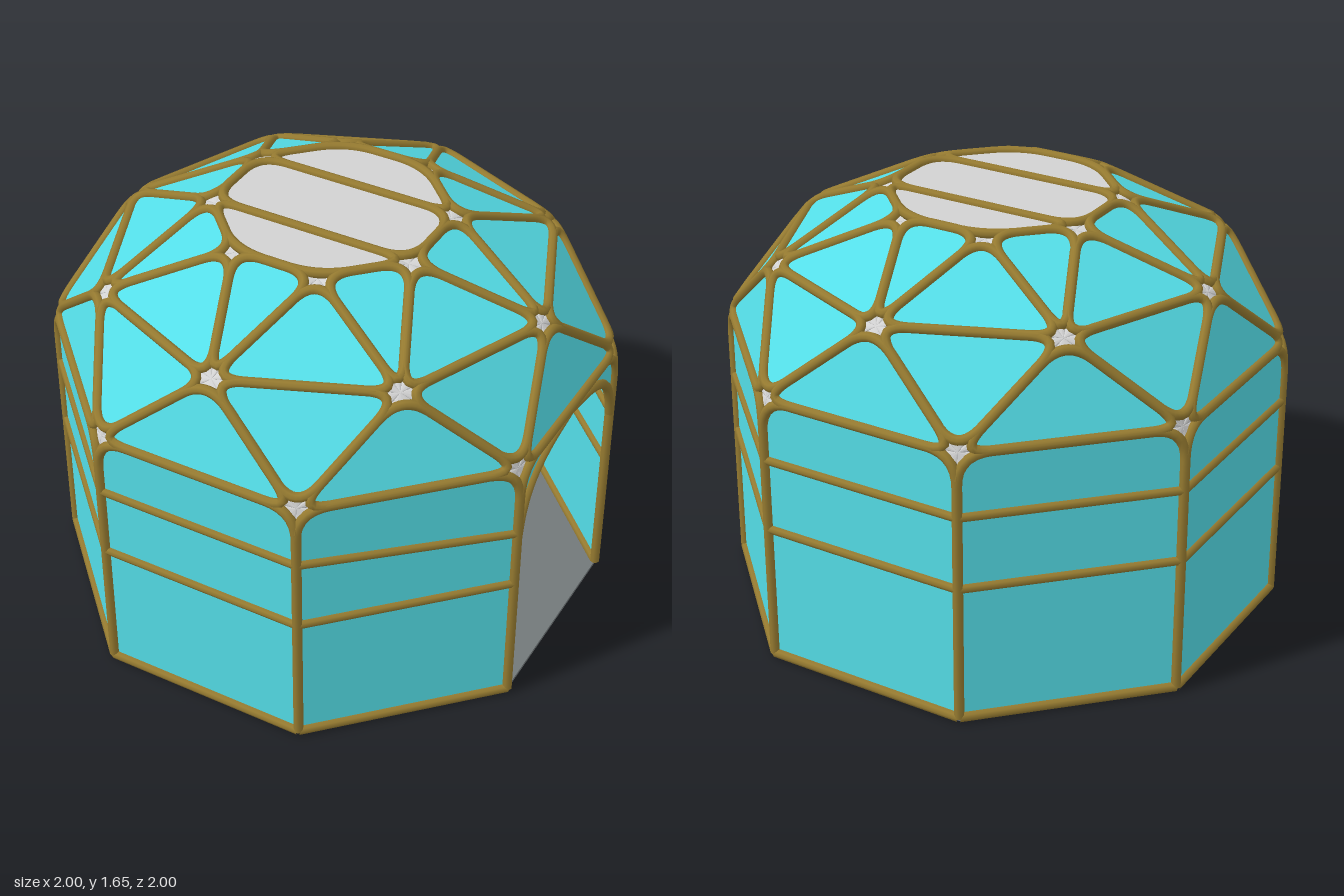
import * as THREE from 'three';
import { mergeGeometries } from 'three/addons/utils/BufferGeometryUtils.js';

const TUBE = 0.019; // frame tube radius
const CUT = 0.125; // how far from a joint the frame starts to round
const WALL_TOP = 1.085;
const V = (x, y, z) => new THREE.Vector3(x, y, z);

// Eight points on a level ring; offset is in steps of 45 degrees
const ring = (r, y, offset) => Array.from({ length: 8 }, (_, k) => {
  const a = (k + offset) * Math.PI / 4;
  return V(r * Math.cos(a), y, r * Math.sin(a));
});

// Triangle with its front turned away from the middle of the dome
function pushTriangle(out, a, b, c) {
  const mid = a.clone().add(b).add(c).divideScalar(3).sub(V(0, 0.6, 0));
  const n = b.clone().sub(a).cross(c.clone().sub(a));
  const order = n.dot(mid) >= 0 ? [a, b, c] : [a, c, b];
  order.forEach((p) => out.push(p.x, p.y, p.z));
}

function soup(positions) {
  const g = new THREE.BufferGeometry();
  g.setAttribute('position', new THREE.Float32BufferAttribute(positions, 3));
  g.computeVertexNormals();
  return g;
}

// Rounded corner between neighbours p and n
function cornerCurve(p, c, n) {
  const toward = (q) => c.clone().add(q.clone().sub(c).setLength(CUT));
  return new THREE.QuadraticBezierCurve3(toward(p), c.clone(), toward(n));
}

export function createModel() {
  const model = new THREE.Group();
  const mat = (name, color, side = THREE.FrontSide) => {
    const m = new THREE.MeshStandardMaterial({ color, side });
    m.name = name;
    return m;
  };
  const brass = mat('brass', 0x957a30);
  const cyan = mat('cyan', 0x55e0ea, THREE.DoubleSide);
  const silver = mat('silver', 0xd2d2d2, THREE.DoubleSide);
  const grey = mat('floorGrey', 0x72787a);

  const add = (name, geometry, material, parent = model) => {
    const mesh = new THREE.Mesh(geometry, material);
    mesh.name = name;
    parent.add(mesh);
    return mesh;
  };

  const frames = [];
  const panels = [];
  const skylights = [];
  const hubs = [];

  const bar = (a, b, r = TUBE) =>
    new THREE.TubeGeometry(new THREE.LineCurve3(a, b), 1, r, 8, false);

  // Silver joint filling behind a rounded corner, slightly sunken
  function hubPiece(corner, curve) {
    const centre = V(0, corner.y > 1.5 ? 1.1 : 0.95, 0);
    const apex = corner.clone().add(centre.sub(corner).setLength(0.02));
    const pts = curve.getPoints(6);
    for (let i = 0; i < 6; i++) pushTriangle(hubs, apex, pts[i], pts[i + 1]);
  }

  // Flat filling of a convex outline
  function fill(out, pts) {
    const mid = pts.reduce((s, p) => s.add(p), V(0, 0, 0)).divideScalar(pts.length);
    pts.forEach((p, i) => pushTriangle(out, mid, p, pts[(i + 1) % pts.length]));
  }

  // Closed roof cell: rounded tube frame, panel and joint pieces
  function roofCell(corners, out) {
    const n = corners.length;
    const arcs = corners.map((c, i) => cornerCurve(corners[(i + n - 1) % n], c, corners[(i + 1) % n]));
    const path = new THREE.CurvePath();
    arcs.forEach((arc, i) => {
      path.add(arc);
      path.add(new THREE.LineCurve3(arc.v2, arcs[(i + 1) % n].v0));
      hubPiece(corners[i], arc);
    });
    frames.push(new THREE.TubeGeometry(path, 90, TUBE, 8, true));
    fill(out, arcs.flatMap((arc) => arc.getPoints(8)));
  }

  // Roof: three rings of joints, alternately turned
  const low = ring(1.063, WALL_TOP, 0.5);
  const middle = ring(0.865, 1.42, 0);
  const high = ring(0.444, 1.627, 0.5);
  for (let k = 0; k < 8; k++) {
    const next = (k + 1) % 8;
    roofCell([low[k], low[next], middle[next]], panels);
    roofCell([middle[k], middle[next], low[k]], panels);
    roofCell([middle[k], middle[next], high[k]], panels);
    roofCell([high[k], high[next], middle[next]], panels);
  }

  // Flat skylight in three parts
  roofCell([high[0], high[1], high[2], high[3]], skylights);
  roofCell([high[4], high[5], high[6], high[7]], skylights);
  roofCell([high[0], high[3], high[4], high[7]], skylights);

  // Walls; wall 7 is the doorway on +x
  const DOOR = 7;
  for (let k = 0; k < 8; k++) {
    const next = (k + 1) % 8;
    const a = low[k];
    const b = low[next];
    const at = (p, y) => V(p.x, y, p.z);
    const a0 = at(a, TUBE);
    const b0 = at(b, TUBE);
    const arcA = cornerCurve(a0, a, b);
    const arcB = cornerCurve(a, b, b0);
    const path = new THREE.CurvePath();
    path.add(new THREE.LineCurve3(a0, arcA.v0));
    path.add(arcA);
    path.add(new THREE.LineCurve3(arcA.v2, arcB.v0));
    path.add(arcB);
    path.add(new THREE.LineCurve3(arcB.v2, b0));
    frames.push(new THREE.TubeGeometry(path, 100, TUBE, 8, false));
    hubPiece(a, arcA);
    hubPiece(b, arcB);
    if (k === DOOR) continue;
    fill(panels, [a0, ...arcA.getPoints(8), ...arcB.getPoints(8), b0]);
    frames.push(bar(a0, b0));
    // Cross bars dip towards the doorway
    const barY = (i) => (i === 0 || i === DOOR ? 0.795 : 0.84);
    frames.push(bar(at(a, barY(k)), at(b, barY(next)), 0.017));
    frames.push(bar(at(a, 0.555), at(b, 0.555), 0.017));
  }

  add('frame', mergeGeometries(frames), brass);
  add('panels', soup(panels), cyan);
  add('skylight', soup(skylights), silver);
  add('joints', soup(hubs), silver);

  // Doorway arch, drawn facing +z and turned to +x
  const door = new THREE.Group();
  door.name = 'doorway';
  door.position.x = low[0].x;
  door.rotation.y = Math.PI / 2;
  model.add(door);
  const w = low[0].z;
  const half = [[w, 0.78], [0.385, 0.87], [0.345, 0.945], [0.28, 1.0], [0.19, 1.04], [0, 1.078]];
  for (const s of [-1, 1]) {
    const curve = new THREE.CatmullRomCurve3(half.map(([x, y]) => V(s * x, y, 0)));
    add('doorArch', new THREE.TubeGeometry(curve, 32, TUBE, 8, false), brass, door);
    const shape = new THREE.Shape();
    shape.moveTo(0, WALL_TOP);
    shape.lineTo(s * (w - CUT), WALL_TOP);
    shape.quadraticCurveTo(s * w, WALL_TOP, s * w, WALL_TOP - CUT);
    curve.getPoints(20).forEach((p) => shape.lineTo(p.x, p.y));
    add('archPanel', new THREE.ShapeGeometry(shape), cyan, door);
  }

  // Floor
  const floor = add('floor', new THREE.CylinderGeometry(1.063, 1.063, 0.012, 8), grey);
  floor.rotation.y = Math.PI / 8;
  floor.position.y = 0.008;

  return model;
}
